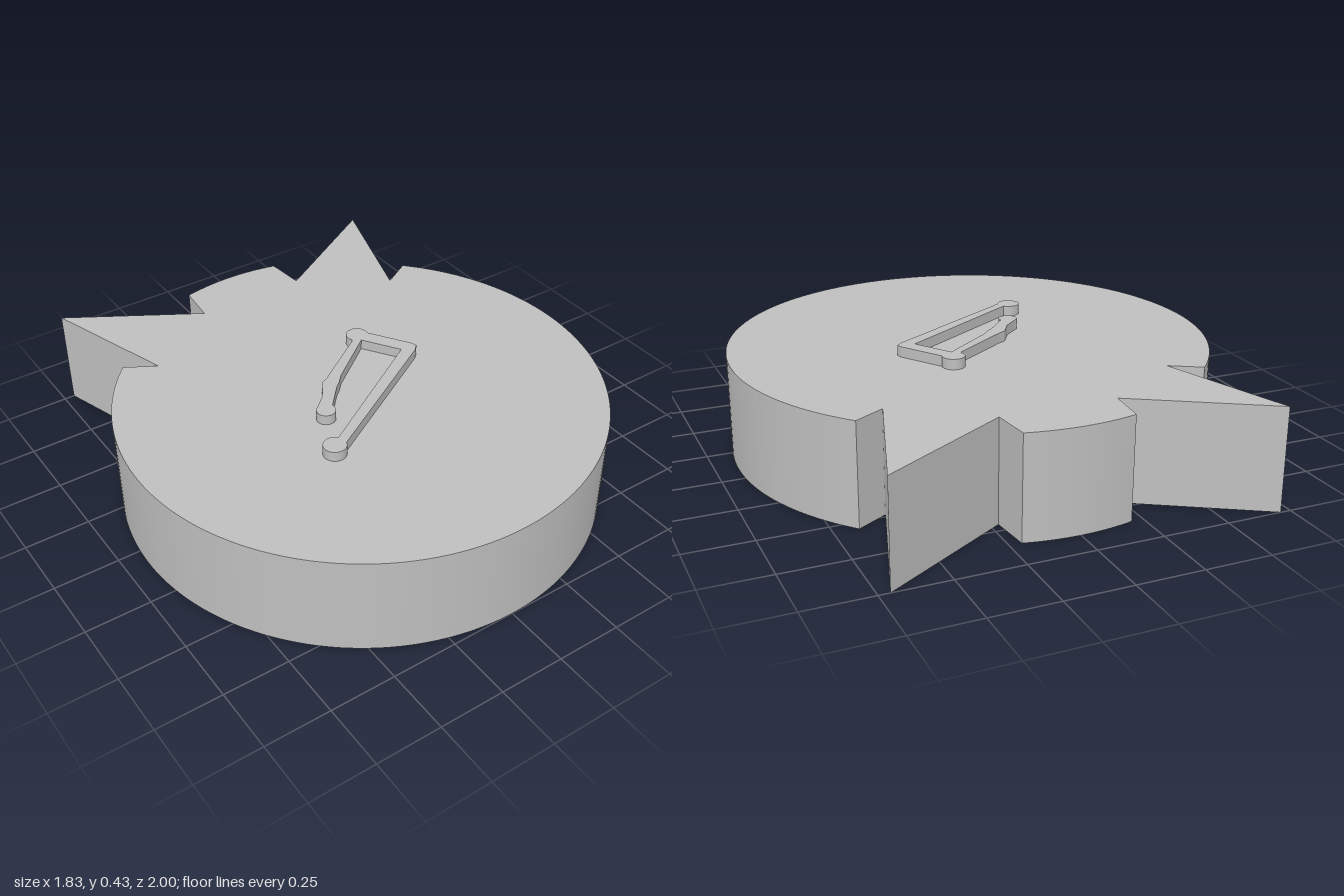
import * as THREE from 'three';

const BODY_H = 0.39, RELIEF_H = 0.04;

// Extrudes a plan outline (shape y = -z) upwards from the given height
function slab(shape, height, y, material, name) {
  const geo = new THREE.ExtrudeGeometry(shape, { depth: height, bevelEnabled: false, curveSegments: 72 });
  geo.rotateX(-Math.PI / 2);
  const mesh = new THREE.Mesh(geo, material);
  mesh.position.y = y;
  mesh.name = name;
  return mesh;
}

// Round body with two pointed spikes and a short tab at the back
function bodyShape() {
  const s = new THREE.Shape();
  const a = Math.atan2(0.635, 0.66);
  const notch = [[0.545, 0.485], [0.71, 1], [0.22, 0.705], [0.205, 0.86]];
  s.absarc(0, -0.083, 0.917, Math.PI - a, a + 2 * Math.PI, false);
  notch.forEach(([x, y]) => s.lineTo(x, y));
  s.quadraticCurveTo(0, 0.91, -0.205, 0.86);
  notch.slice(0, 3).reverse().forEach(([x, y]) => s.lineTo(-x, y));
  s.closePath();
  return s;
}

// Bent rod with round knobs at its ends and upper corner
function hookShape() {
  const s = new THREE.Shape();
  const lines = (pts) => pts.forEach(([x, z]) => s.lineTo(x, -z));
  const knob = (x, z, r, from, to) => {
    const angle = ([px, pz]) => Math.atan2(z - pz, px - x);
    s.absarc(x, -z, r, angle(from), angle(to), false);
  };
  s.moveTo(0.13, 0.16);
  lines([[-0.09, -0.01], [-0.12, 0.005], [-0.16, 0.07]]);
  knob(-0.198, 0.15, 0.036, [-0.215, 0.115], [-0.163, 0.14]);
  lines([[-0.09, 0.058], [-0.065, 0.037], [-0.035, 0.005], [0.16, -0.143], [0.25, -0.005]]);
  knob(-0.283, 0.333, 0.043, [-0.246, 0.303], [-0.24, 0.345]);
  lines([[0.294, 0.026], [0.315, 0.005], [0.31, -0.016]]);
  knob(0.168, -0.185, 0.042, [0.21, -0.172], [0.13, -0.165]);
  s.closePath();
  return s;
}

export function createModel() {
  const grey = new THREE.MeshStandardMaterial({ color: 0xbfbfbf });
  grey.name = 'light grey';
  const model = new THREE.Group();
  model.name = 'spikedDisc';
  model.add(
    slab(bodyShape(), BODY_H, 0, grey, 'body'),
    slab(hookShape(), RELIEF_H, BODY_H, grey, 'raisedHook')
  );
  return model;
}
